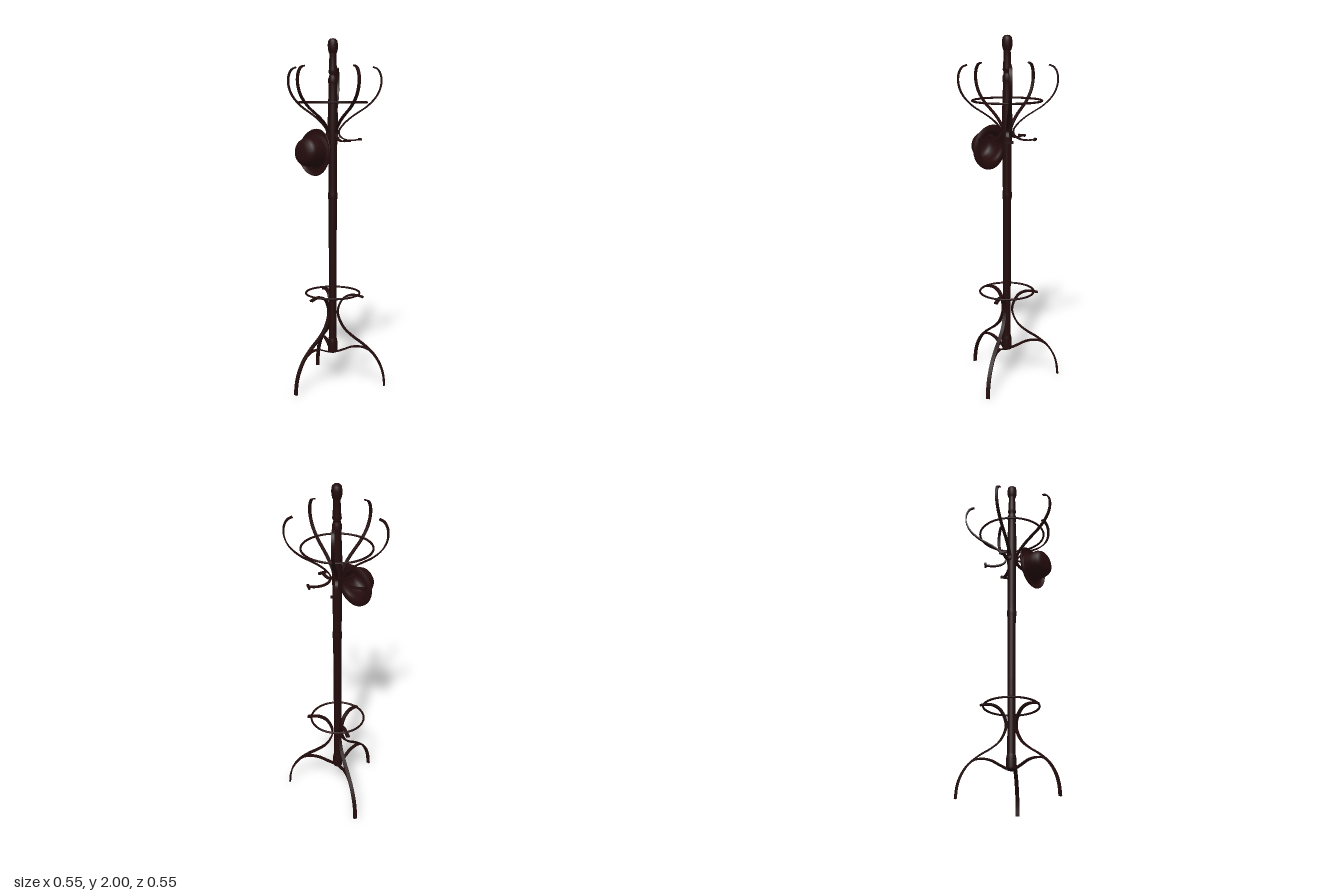
import * as THREE from 'three';

const wood = new THREE.MeshStandardMaterial({ color: 0x220b0b });
wood.name = 'dark wood';
const felt = new THREE.MeshStandardMaterial({ color: 0x250c0d, side: THREE.DoubleSide });
felt.name = 'dark felt';

function add(parent, name, geometry, material = wood) {
  const mesh = new THREE.Mesh(geometry, material);
  mesh.name = name;
  parent.add(mesh);
  return mesh;
}

// Bent wooden strip following (radius, height) points, with a rectangular section
function strip(points, thickness, width, steps = 48) {
  const curve = new THREE.CatmullRomCurve3(points.map(([r, y]) => new THREE.Vector3(r, y, 0)), false, 'centripetal');
  const a = [], b = [];
  for (let i = 0; i <= steps; i++) {
    const p = curve.getPoint(i / steps), t = curve.getTangent(i / steps);
    const nx = -t.y * thickness / 2, ny = t.x * thickness / 2;
    a.push(new THREE.Vector2(p.x + nx, p.y + ny));
    b.unshift(new THREE.Vector2(p.x - nx, p.y - ny));
  }
  const geo = new THREE.ExtrudeGeometry(new THREE.Shape([...a, ...b]), { depth: width, bevelEnabled: false });
  return geo.translate(0, 0, -width / 2);
}

function ring(parent, name, radius, y) {
  add(parent, name, new THREE.TorusGeometry(radius, 0.006, 8, 64).rotateX(Math.PI / 2)).position.y = y;
}

// Bowler hat: lathe with a brim that curls up at the sides
function makeHat() {
  const profile = [
    [0.122, 0.009], [0.125, 0.005], [0.12, 0], [0.105, -0.002], [0.09, 0.0], [0.081, 0.008],
    [0.08, 0.03], [0.081, 0.055], [0.078, 0.082], [0.069, 0.1], [0.053, 0.111], [0.03, 0.116], [0, 0.117],
  ].map(([r, y]) => new THREE.Vector2(r, y));
  const geo = new THREE.LatheGeometry(profile, 40);
  const pos = geo.attributes.position;
  for (let i = 0; i < pos.count; i++) {
    const x = pos.getX(i), z = pos.getZ(i), r = Math.hypot(x, z);
    const k = Math.max(0, (r - 0.082) / 0.043);
    if (k > 0) {
      const side = (z / r) ** 2;
      pos.setY(i, pos.getY(i) + 0.013 * k * k * side);
      pos.setX(i, x * (1 + 0.05 * k));
      pos.setZ(i, z * (1 - 0.04 * k));
    }
  }
  geo.computeVertexNormals();
  const hat = new THREE.Group();
  hat.name = 'hat';
  add(hat, 'hatBody', geo, felt);
  add(hat, 'hatBand', new THREE.CylinderGeometry(0.0825, 0.0825, 0.026, 40, 1, true), felt).position.y = 0.022;
  hat.rotation.z = Math.PI / 2 - 0.08;
  return hat;
}

export function createModel() {
  const model = new THREE.Group();
  model.name = 'coatStand';
  const stand = new THREE.Group();
  stand.name = 'stand';
  stand.position.x = 0.04;
  model.add(stand);

  // Turned pole with collars and a rounded finial
  const pole = [
    [0, 0.188], [0.026, 0.188], [0.028, 0.198], [0.028, 0.25], [0.025, 0.265], [0.022, 0.28], [0.0225, 0.7],
    [0.024, 1.09], [0.027, 1.1], [0.027, 1.13], [0.024, 1.14], [0.025, 1.2], [0.025, 1.4], [0.028, 1.45],
    [0.029, 1.55], [0.026, 1.66], [0.023, 1.74], [0.026, 1.755], [0.027, 1.775], [0.021, 1.79], [0.019, 1.8],
    [0.026, 1.815], [0.023, 1.825], [0.021, 1.87], [0.019, 1.915], [0.023, 1.922], [0.028, 1.94],
    [0.029, 1.965], [0.025, 1.988], [0.014, 1.998], [0, 2],
  ].map(([r, y]) => new THREE.Vector2(r, y));
  add(stand, 'pole', new THREE.LatheGeometry(pole, 24));

  // Three bent legs with arched braces
  const legGeo = strip([
    [0.309, 0.005], [0.303, 0.065], [0.285, 0.125], [0.245, 0.19], [0.185, 0.245], [0.12, 0.29], [0.07, 0.335],
    [0.04, 0.39], [0.031, 0.43], [0.04, 0.475], [0.07, 0.52], [0.11, 0.537], [0.15, 0.535], [0.182, 0.527],
  ], 0.0095, 0.021, 64);
  const braceGeo = strip([
    [0.28, 0.135], [0.25, 0.183], [0.21, 0.218], [0.165, 0.23], [0.115, 0.226], [0.07, 0.208], [0.026, 0.191],
  ], 0.0075, 0.019, 28);
  for (let i = 0; i < 3; i++) {
    const leg = new THREE.Group();
    leg.name = 'leg';
    leg.rotation.y = Math.PI + i * Math.PI * 2 / 3;
    add(leg, 'legStrip', legGeo);
    add(leg, 'legBrace', braceGeo);
    stand.add(leg);
  }

  // Five double hooks: tall hat hook above, short coat hook with a crossbar below
  const hookGeo = strip([
    [0.233, 1.844], [0.26, 1.832], [0.278, 1.802], [0.283, 1.76], [0.273, 1.715], [0.25, 1.673], [0.2, 1.623],
    [0.15, 1.59], [0.105, 1.56], [0.06, 1.52], [0.035, 1.48], [0.047, 1.45], [0.08, 1.434], [0.12, 1.431], [0.157, 1.436],
  ], 0.0075, 0.017, 72);
  for (let i = 0; i < 5; i++) {
    const hook = new THREE.Group();
    hook.name = 'hook';
    hook.rotation.y = Math.PI + i * Math.PI * 2 / 5;
    add(hook, 'hookStrip', hookGeo);
    add(hook, 'hookCrossbar', new THREE.BoxGeometry(0.012, 0.013, 0.046)).position.set(0.158, 1.436, 0);
    stand.add(hook);
  }

  // Hoops tying the hooks and holding umbrellas
  ring(stand, 'upperRing', 0.193, 1.646);
  ring(stand, 'lowerRing', 0.156, 0.544);

  // Hat hanging on the right-hand hook
  const hat = makeHat();
  hat.position.set(-0.097, 1.37, 0);
  model.add(hat);
  return model;
}
